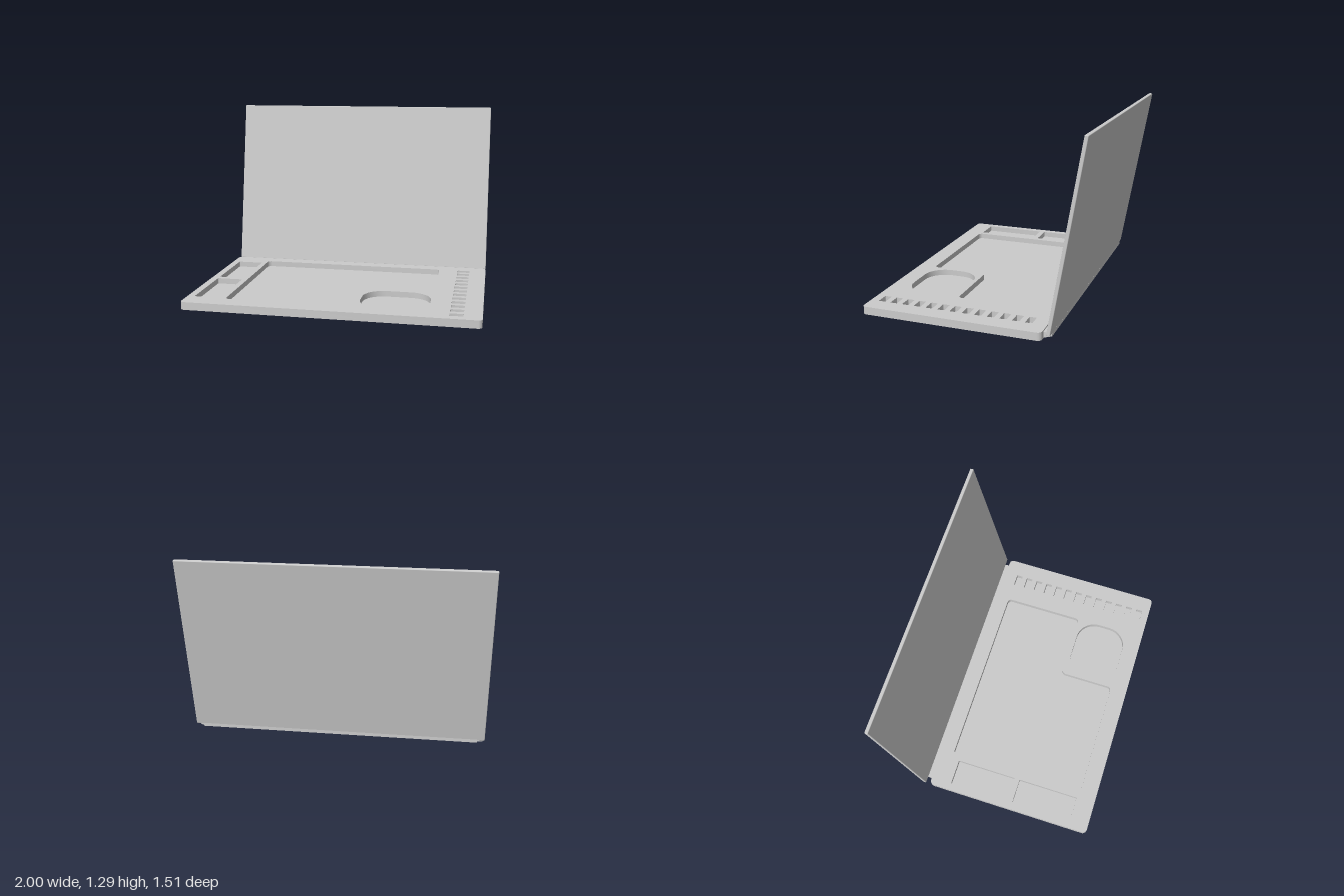
import * as THREE from 'three';
import { toCreasedNormals } from 'three/addons/utils/BufferGeometryUtils.js';
import { RoundedBoxGeometry } from 'three/addons/geometries/RoundedBoxGeometry.js';

const material = new THREE.MeshStandardMaterial({ color: 0xcccccc });

// Closed outline through [x, z] corners, each rounded by r (shape y = -z)
function outline(corners, r, Type = THREE.Path) {
  const path = new Type();
  const pts = corners.map(([x, z]) => new THREE.Vector2(x, -z));
  pts.forEach((p, i) => {
    const prev = pts[(i + pts.length - 1) % pts.length];
    const next = pts[(i + 1) % pts.length];
    const a = p.clone().add(prev.clone().sub(p).setLength(r));
    const b = p.clone().add(next.clone().sub(p).setLength(r));
    const k = 0.55; // cubic handles close to a circular arc
    const ha = a.clone().lerp(p, k), hb = b.clone().lerp(p, k);
    if (i === 0) path.moveTo(a.x, a.y);
    else path.lineTo(a.x, a.y);
    path.bezierCurveTo(ha.x, ha.y, hb.x, hb.y, b.x, b.y);
  });
  path.closePath();
  return path;
}

const rect = (x0, x1, z0, z1) => [[x0, z0], [x0, z1], [x1, z1], [x1, z0]];

function slab(name, shape, y, height) {
  const geo = new THREE.ExtrudeGeometry(shape, { depth: height, bevelEnabled: false, curveSegments: 8 });
  geo.rotateX(-Math.PI / 2);
  geo.translate(0, y, 0);
  const mesh = new THREE.Mesh(toCreasedNormals(geo, 0.6), material);
  mesh.name = name;
  return mesh;
}

export function createModel() {
  const model = new THREE.Group();
  model.name = 'openCase';

  // Tray: solid floor plus a pierced top layer
  const tray = new THREE.Group();
  tray.name = 'tray';
  const body = () => outline(rect(-1, 1, -0.485, 0.755), 0.03, THREE.Shape);
  const floorTop = 0.014, trayTop = 0.054;
  const top = body();

  // L-shaped main well and the round-cornered well in its notch
  top.holes.push(outline([[-0.725, -0.39], [-0.725, 0.63], [0.16, 0.63], [0.16, 0.22], [0.65, 0.22], [0.65, -0.39]], 0.03));
  top.holes.push(outline(rect(0.18, 0.65, 0.245, 0.63), 0.15));

  // Two side wells
  top.holes.push(outline(rect(-0.95, -0.765, -0.33, 0.12), 0.004));
  top.holes.push(outline(rect(-0.95, -0.765, 0.16, 0.615), 0.004));

  // Row of small slots
  for (let i = 0; i < 13; i++) {
    const z = -0.365 + i * 0.0865;
    top.holes.push(outline(rect(0.79, 0.88, z - 0.024, z + 0.024), 0.003));
  }
  tray.add(slab('trayFloor', body(), 0, floorTop));
  tray.add(slab('trayTop', top, floorTop, trayTop - floorTop));
  model.add(tray);

  // Hinge strip: z-y profile swept along x
  const profile = new THREE.Shape([
    [-0.47, 0.045], [-0.485, 0.045], [-0.515, 0.036], [-0.541, 0.044], [-0.541, 0.021], [-0.485, 0.003], [-0.47, 0.003],
  ].map(([z, y]) => new THREE.Vector2(z, y)));
  const hingeGeo = new THREE.ExtrudeGeometry(profile, { depth: 1.9, bevelEnabled: false });
  hingeGeo.rotateY(-Math.PI / 2);
  hingeGeo.translate(0.95, 0, 0);
  const hinge = new THREE.Mesh(toCreasedNormals(hingeGeo, 0.5), material);
  hinge.name = 'hinge';
  model.add(hinge);

  // Lid leaning back
  const lid = new THREE.Mesh(new RoundedBoxGeometry(2, 1.263, 0.025, 3, 0.005), material);
  lid.name = 'lid';
  lid.position.set(0, 0.6625, -0.635);
  lid.rotation.x = -0.171;
  model.add(lid);

  return model;
}
